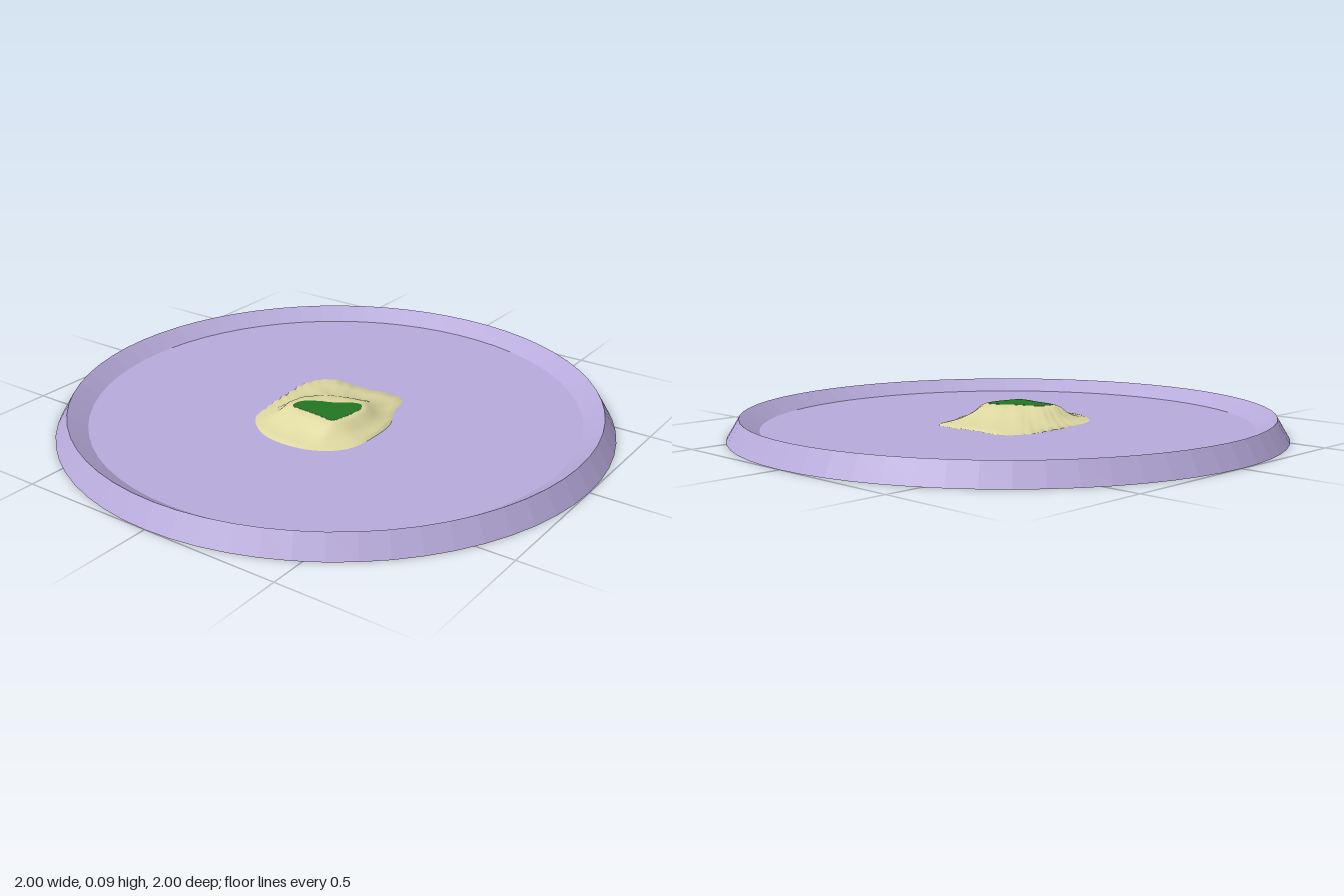
import * as THREE from 'three';

const FLOOR = 0.03;

// Closed smooth loop through flat [x, z] pairs, sampled at equal steps per control point
function loop(pairs, count) {
  const pts = pairs.map(([x, z]) => new THREE.Vector3(x, 0, z));
  const curve = new THREE.CatmullRomCurve3(pts, true, 'centripetal');
  return Array.from({ length: count }, (_, i) => curve.getPoint(i / count));
}

// Surface through a list of closed rings running from the inside out
function loft(rings) {
  const n = rings[0].length, pos = [], idx = [];
  rings.forEach(ring => ring.forEach(p => pos.push(p.x, p.y, p.z)));
  for (let r = 0; r < rings.length - 1; r++) {
    for (let i = 0; i < n; i++) {
      const j = (i + 1) % n;
      const a = r * n + i, b = a + n, c = r * n + j, d = c + n;
      idx.push(a, c, b, c, d, b);
    }
  }
  const g = new THREE.BufferGeometry();
  g.setAttribute('position', new THREE.Float32BufferAttribute(pos, 3));
  g.setIndex(idx);
  g.computeVertexNormals();
  return g;
}

export function createModel() {
  const group = new THREE.Group();
  const lilac = new THREE.MeshStandardMaterial({ color: 0xb7aadb, flatShading: true, side: THREE.DoubleSide });
  lilac.name = 'lilac';
  const sand = new THREE.MeshStandardMaterial({ color: 0xddd7a0, side: THREE.DoubleSide });
  sand.name = 'sand';
  const green = new THREE.MeshStandardMaterial({ color: 0x227722, side: THREE.DoubleSide });
  green.name = 'green';

  const add = (name, geometry, material) => {
    const mesh = new THREE.Mesh(geometry, material);
    mesh.name = name;
    group.add(mesh);
  };

  // Thin tray, open underneath: sloped outer wall, inner wall and raised floor
  const profile = [[1, 0], [0.955, 0.076], [0.885, FLOOR], [0, FLOOR]];
  add('tray', new THREE.LatheGeometry(profile.map(p => new THREE.Vector2(...p)), 64), lilac);

  // Matching outlines of the hilltop, the shore and the buried edge
  const N = 112;
  const top = loop([[-0.07, 0.16], [-0.06, 0.12], [-0.01, 0.085], [0.03, 0.07], [0.06, 0.05],
    [0.09, 0.03], [0.125, 0.023], [0.145, 0.05], [0.145, 0.1], [0.135, 0.15], [0.12, 0.19],
    [0.06, 0.185], [0, 0.18], [-0.06, 0.175]], N);
  const shore = loop([[-0.21, 0.12], [-0.22, 0], [-0.22, -0.12], [-0.17, -0.2], [-0.03, -0.205],
    [0.15, -0.205], [0.19, -0.09], [0.235, 0], [0.245, 0.1], [0.225, 0.23], [0.15, 0.31],
    [0.04, 0.34], [-0.08, 0.32], [-0.18, 0.23]], N);
  const edge = loop([[-0.225, 0.12], [-0.22, 0], [-0.22, -0.12], [-0.2, -0.2], [-0.03, -0.205],
    [0.16, -0.205], [0.21, -0.1], [0.24, 0], [0.25, 0.15], [0.26, 0.385], [0.15, 0.375],
    [0.04, 0.36], [-0.1, 0.35], [-0.24, 0.34]], N);

  // Ragged back and left edges
  [shore, edge].forEach(ring => ring.forEach((p, i) => {
    const wobble = 0.005 * Math.sin(i * 1.9);
    if (p.z < -0.19) p.z += wobble;
    else if (p.x < -0.2) p.x += wobble;
  }));

  // Hill slopes: distance from hilltop to shore, and height
  const slope = [[0, 0.087], [0.1, 0.085], [0.24, 0.078], [0.4, 0.06], [0.6, 0.046], [0.8, 0.037], [1, 0.031]];
  const rings = slope.map(([t, y]) => top.map((p, i) => {
    const v = p.clone().lerp(shore[i], t);
    v.y = y + 0.0015 * Math.sin(i * 0.6 + t * 5) * Math.sin(Math.PI * t);
    return v;
  }));
  rings.push(edge.map(p => p.clone().setY(0.014)));
  add('hill', loft(rings), sand);

  // Flat green hilltop
  const cap = new THREE.ShapeGeometry(new THREE.Shape(top.map(p => new THREE.Vector2(p.x, -p.z))));
  cap.rotateX(-Math.PI / 2).translate(0, 0.0875, 0);
  add('grassTop', cap, green);

  return group;
}
